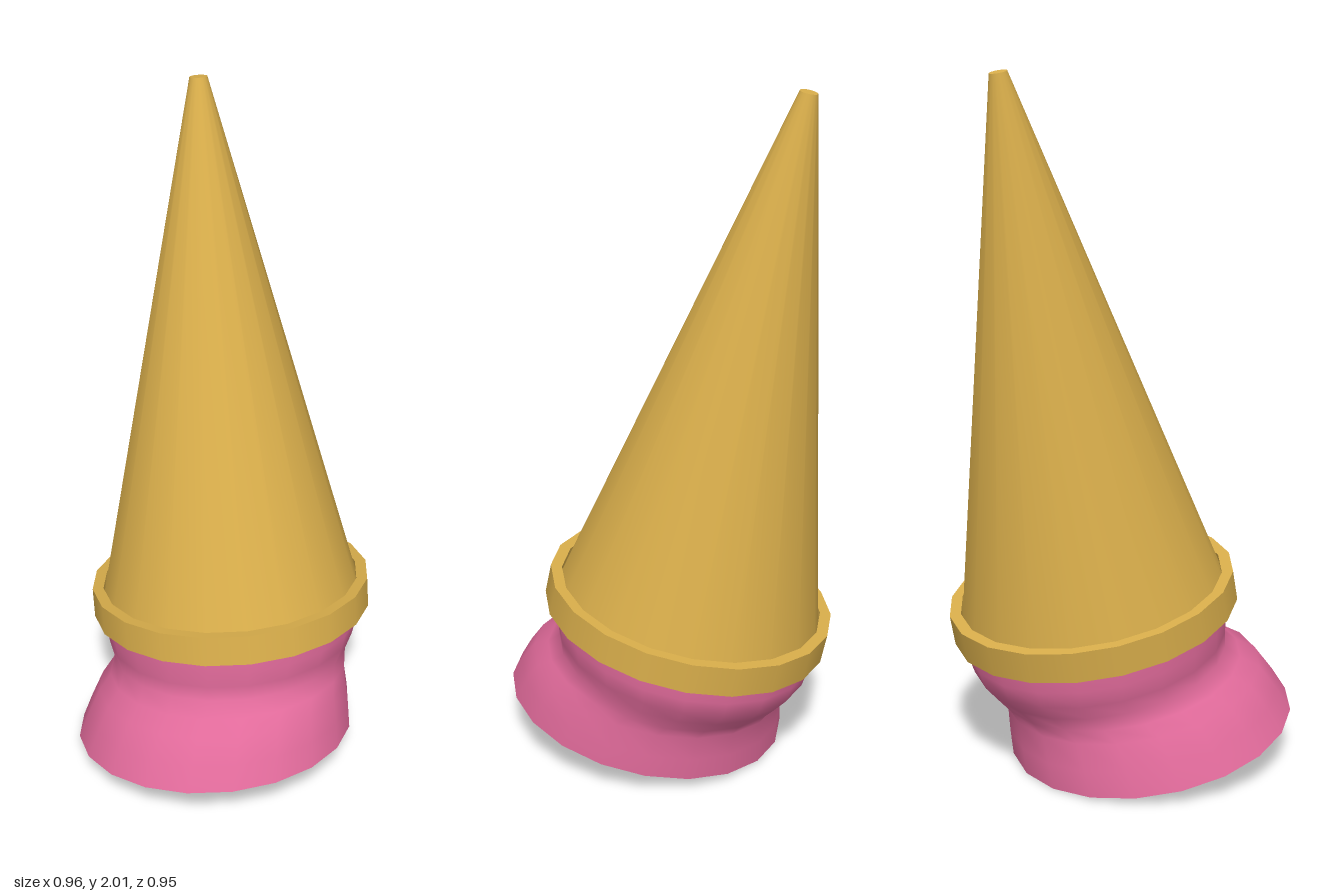
import * as THREE from 'three';
import { mergeVertices } from 'three/addons/utils/BufferGeometryUtils.js';

const SIDES = 20;
const PHASE = -3.4 * Math.PI / 180;

export function createModel() {
  const model = new THREE.Group();
  model.name = 'upturnedIceCreamCone';

  const wafer = new THREE.MeshStandardMaterial({ color: 0xd9ae4b });
  wafer.name = 'golden wafer';
  const pink = new THREE.MeshStandardMaterial({ color: 0xe06a9a, side: THREE.DoubleSide });
  pink.name = 'pink ice cream';

  // Everything leans back along one tilted axis, starting at the top of the wafer band
  const tilted = new THREE.Group();
  tilted.name = 'tiltedCone';
  tilted.position.set(0.06, 0.517, -0.06);
  const axis = new THREE.Vector3(0.04, 0.98, -0.195).normalize();
  tilted.quaternion.setFromUnitVectors(new THREE.Vector3(0, 1, 0), axis);
  tilted.updateMatrix();
  const toLocal = tilted.matrix.clone().invert();
  model.add(tilted);

  const add = (name, geometry, material) => {
    const mesh = new THREE.Mesh(geometry, material);
    mesh.name = name;
    tilted.add(mesh);
  };

  // Long cone with a small blunt tip
  const cone = new THREE.CylinderGeometry(0.025, 0.392, 1.555, SIDES, 1, false, PHASE);
  cone.translate(0, 0.7375, 0);
  add('waferCone', cone, wafer);

  // Band around the cone mouth: one lathe per face keeps its edges sharp
  const bandFaces = {
    bandOuter: [[0.421, -0.09], [0.421, 0]],
    bandTop: [[0.421, 0], [0.388, 0]],
    bandInner: [[0.388, 0], [0.388, -0.09]],
    bandBottom: [[0.34, -0.09], [0.421, -0.09]],
  };
  for (const [name, points] of Object.entries(bandFaces)) {
    const profile = points.map(([r, y]) => new THREE.Vector2(r, y));
    add(name, new THREE.LatheGeometry(profile, SIDES, PHASE), wafer);
  }

  // Stacked rings, each [centre x, y, z, radius], with centres that wander sideways
  const skewLathe = (rings) => {
    const centres = rings.map(([x, y, z]) => new THREE.Vector3(x, y, z).applyMatrix4(toLocal));
    const profile = rings.map((ring, i) => new THREE.Vector2(ring[3], centres[i].y));
    const geometry = new THREE.LatheGeometry(profile, SIDES, PHASE);
    const pos = geometry.attributes.position;
    for (let i = 0; i < pos.count; i++) {
      const c = centres[i % rings.length];
      pos.setXYZ(i, pos.getX(i) + c.x, pos.getY(i), pos.getZ(i) + c.z);
    }
    geometry.deleteAttribute('uv');
    geometry.deleteAttribute('normal');
    const merged = mergeVertices(geometry, 1e-5);
    merged.computeVertexNormals();
    return merged;
  };

  // Ice cream: flared skirt, waist and bulge below the band
  add('iceCreamOuter', skewLathe([
    [-0.064, 0.083, 0.068, 0.42],
    [-0.043, 0.15, 0.054, 0.403],
    [-0.02, 0.22, 0.037, 0.38],
    [0.012, 0.25, 0.012, 0.363],
    [0.038, 0.285, -0.018, 0.358],
    [0.05, 0.33, -0.034, 0.376],
    [0.055, 0.38, -0.04, 0.386],
    [0.056, 0.45, -0.047, 0.384],
  ]), pink);

  // Rim around the opening
  add('iceCreamRim', skewLathe([
    [-0.062, 0.092, 0.066, 0.352],
    [-0.064, 0.083, 0.068, 0.385],
    [-0.064, 0.083, 0.068, 0.42],
  ]), pink);

  // Hollow inside
  add('iceCreamHollow', skewLathe([
    [0.04, 0.36, -0.03, 0],
    [0.035, 0.35, -0.025, 0.14],
    [0.025, 0.31, -0.01, 0.26],
    [-0.005, 0.24, 0.02, 0.32],
    [-0.04, 0.16, 0.05, 0.345],
    [-0.062, 0.092, 0.066, 0.352],
  ]), pink);

  return model;
}
